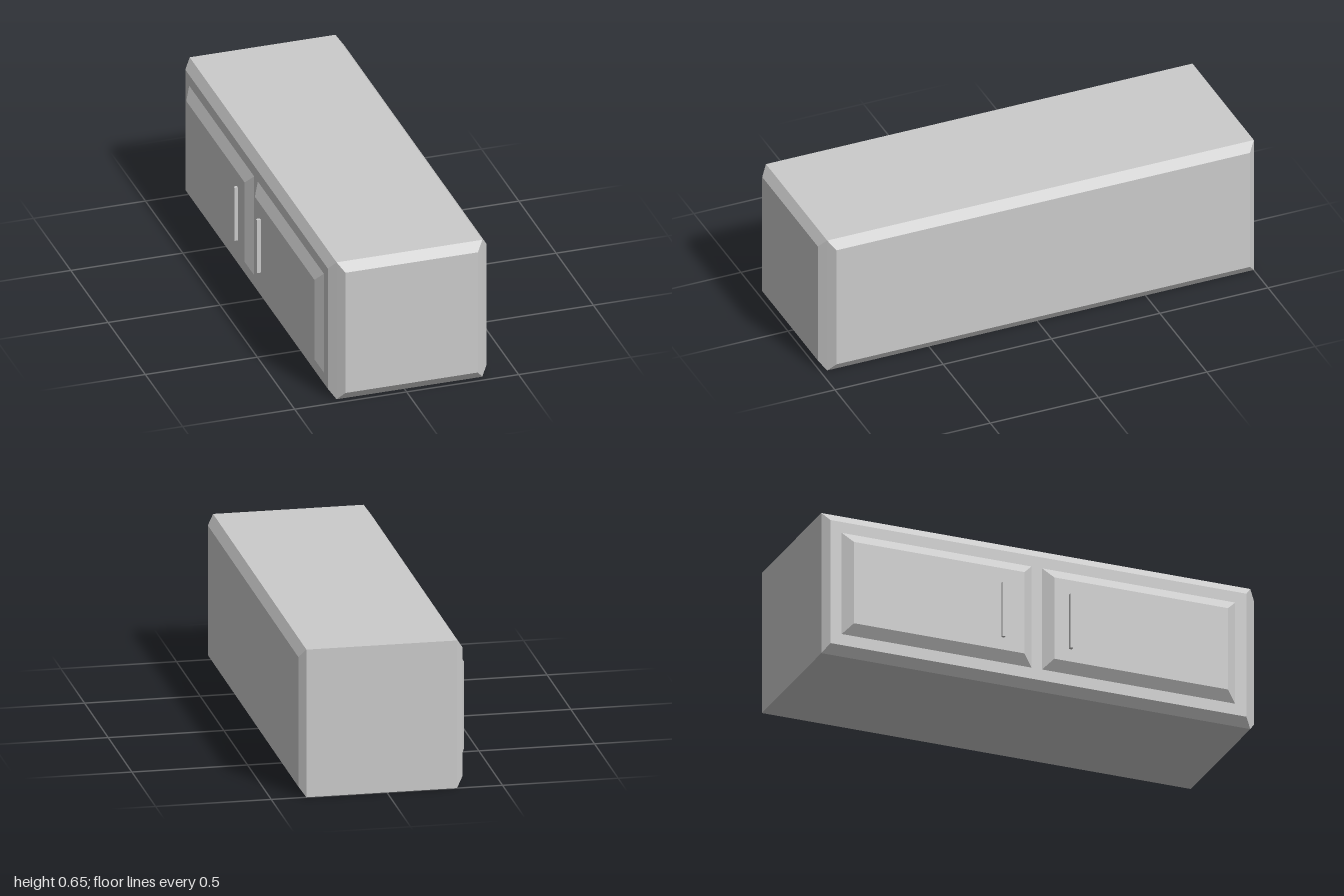
import * as THREE from 'three';
import { ConvexGeometry } from 'three/addons/geometries/ConvexGeometry.js';

const material = new THREE.MeshStandardMaterial({ color: 0xcccccc, flatShading: true });

function addMesh(group, name, geometry) {
  const mesh = new THREE.Mesh(geometry, material);
  mesh.name = name;
  group.add(mesh);
  return mesh;
}

// Corners of an axis-aligned block; equal bounds give a flat rectangle.
function corners([x0, x1], [y0, y1], [z0, z1]) {
  const points = [];
  for (const x of new Set([x0, x1]))
    for (const y of new Set([y0, y1]))
      for (const z of new Set([z0, z1])) points.push(new THREE.Vector3(x, y, z));
  return points;
}

export function createModel() {
  const model = new THREE.Group();
  model.name = 'cabinet';

  // Body: bevelled front, top, bottom and sides, flat back
  addMesh(model, 'body', new ConvexGeometry([
    ...corners([-0.303, 0.348], [0, 0.655], [-1, 0.97]),      // top, bottom and back
    ...corners([-0.332, 0.377], [0.04, 0.615], [-0.97, 0.94]), // side faces
    ...corners([-0.273, 0.318], [0.04, 0.615], [1, 1]),        // front face
  ]));

  // Two raised door panels with sloping edges, each with an upright handle
  const doors = [
    { name: 'rearDoor', z0: -0.92, z1: -0.045, handleZ: -0.19, handleX: -0.374 },
    { name: 'frontDoor', z0: 0.0, z1: 0.89, handleZ: 0.12, handleX: -0.378 },
  ];
  const slope = 0.046;
  for (const { name, z0, z1, handleZ, handleX } of doors) {
    const door = new THREE.Group();
    door.name = name;
    addMesh(door, 'panel', new ConvexGeometry([
      ...corners([-0.331, -0.331], [0.09, 0.566], [z0, z1]),
      ...corners([-0.36, -0.36], [0.138, 0.518], [z0 + slope, z1 - slope]),
    ]));
    const depth = -0.355 - handleX;
    const handle = addMesh(door, 'handle', new THREE.BoxGeometry(depth, 0.253, 0.014));
    handle.position.set(handleX + depth / 2, 0.322, handleZ);
    model.add(door);
  }
  return model;
}
